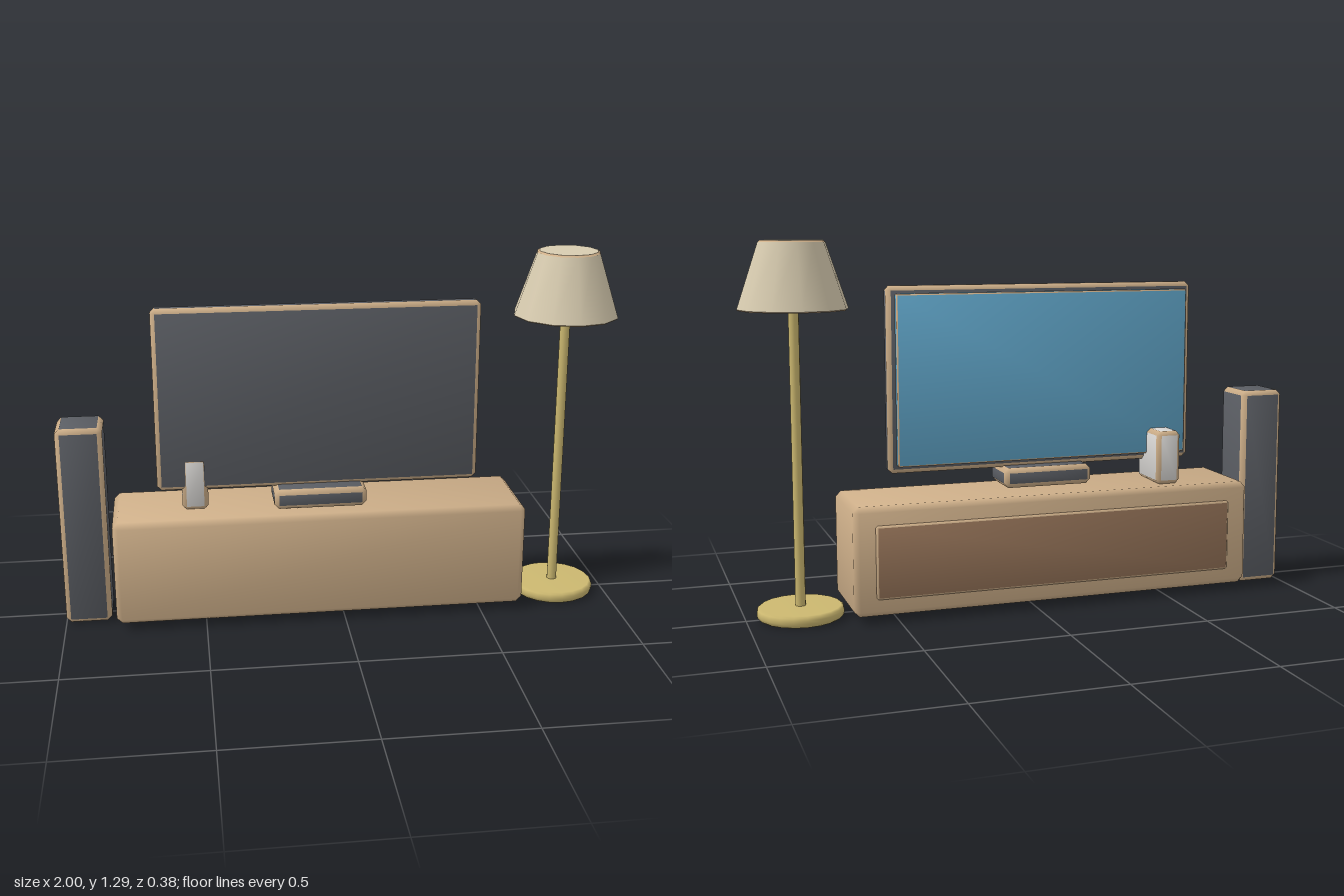
import * as THREE from 'three';

const mat = (name, color) => {
  const m = new THREE.MeshStandardMaterial({ color });
  m.name = name;
  return m;
};

// Chamfered box centred on the origin: group 0 = flat faces, group 1 = chamfers
function chamferBox(w, h, d, b, soft) {
  const half = [w / 2, h / 2, d / 2], pos = [], nor = [], faces = [], bevels = [];
  const corner = (axis, s) => axis * 8 + (s[0] > 0 ? 4 : 0) + (s[1] > 0 ? 2 : 0) + (s[2] > 0 ? 1 : 0);
  for (let axis = 0; axis < 3; axis++) {
    for (const x of [-1, 1]) for (const y of [-1, 1]) for (const z of [-1, 1]) {
      const s = [x, y, z];
      pos.push(...s.map((v, i) => v * (half[i] - (i === axis ? 0 : b))));
      nor.push(...new THREE.Vector3(...s.map((v, i) => v * (i === axis ? 1 : soft))).normalize().toArray());
    }
  }
  const P = i => new THREE.Vector3().fromArray(pos, i * 3);
  // Adds a triangle wound to face away from the centre
  const tri = (list, i, j, k) => {
    const a = P(i), n = P(j).sub(a).cross(P(k).sub(a));
    list.push(...(n.dot(a) > 0 ? [i, j, k] : [i, k, j]));
  };
  const quad = (list, i, j, k, l) => { tri(list, i, j, k); tri(list, i, k, l); };
  for (let a = 0; a < 3; a++) {
    const u = (a + 1) % 3, v = (a + 2) % 3;
    const at = (axis, sa, su, sv) => {
      const s = [];
      s[a] = sa; s[u] = su; s[v] = sv;
      return corner(axis, s);
    };
    for (const p of [-1, 1]) {
      quad(faces, at(a, p, -1, -1), at(a, p, 1, -1), at(a, p, 1, 1), at(a, p, -1, 1));
      for (const q of [-1, 1]) {
        quad(bevels, at(a, p, q, -1), at(a, p, q, 1), at(u, p, q, 1), at(u, p, q, -1));
        if (a === 0) for (const r of [-1, 1]) tri(bevels, at(0, p, q, r), at(1, p, q, r), at(2, p, q, r));
      }
    }
  }
  const g = new THREE.BufferGeometry();
  g.setAttribute('position', new THREE.Float32BufferAttribute(pos, 3));
  g.setAttribute('normal', new THREE.Float32BufferAttribute(nor, 3));
  g.setIndex([...faces, ...bevels]);
  g.addGroup(0, faces.length, 0);
  g.addGroup(faces.length, bevels.length, 1);
  return g;
}

export function createModel() {
  const model = new THREE.Group();
  model.name = 'mediaCorner';

  const wood = mat('light wood', 0xcfb08a);
  const brown = mat('brown wood', 0x967459);
  const dark = mat('charcoal', 0x5b5e64);
  const blue = mat('screen blue', 0x62a8cc);
  const white = mat('off white', 0xdad8d5);
  const cream = mat('lampshade cream', 0xd8ccb0);
  const brass = mat('brass', 0xccb870);

  // Box given by its min and max corners, with wood coloured chamfers
  const box = (name, material, x, y, z, b, soft = 0.25) => {
    const mesh = new THREE.Mesh(
      chamferBox(x[1] - x[0], y[1] - y[0], z[1] - z[0], b, soft), [material, wood]);
    mesh.name = name;
    mesh.position.set((x[0] + x[1]) / 2, (y[0] + y[1]) / 2, (z[0] + z[1]) / 2);
    model.add(mesh);
  };

  // Cabinet with its door panel on the screen side
  box('cabinet', wood, [-0.818, 0.655], [0.022, 0.405], [-0.17, 0.17], 0.02);
  box('doorPanel', brown, [-0.74, 0.58], [0.083, 0.34], [-0.179, -0.16], 0.007);

  // Television
  box('televisionStand', dark, [-0.247, 0.083], [0.413, 0.485], [-0.055, 0.122], 0.017);
  box('televisionBody', dark, [-0.657, 0.492], [0.48, 1.137], [0.005, 0.061], 0.016);
  box('televisionScreen', blue, [-0.63, 0.463], [0.507, 1.11], [-0.02, 0.006], 0.005);

  // Speaker and upright console
  box('speaker', dark, [-1, -0.837], [0, 0.73], [-0.088, 0.088], 0.017);
  box('console', white, [-0.57, -0.478], [0.405, 0.6], [-0.12, 0.063], 0.015);

  // Floor lamp
  const lamp = new THREE.Group();
  lamp.name = 'floorLamp';
  lamp.position.x = 0.812;
  model.add(lamp);
  const round = (name, material, rTop, rBottom, y0, y1, sides, open = false) => {
    const mesh = new THREE.Mesh(new THREE.CylinderGeometry(rTop, rBottom, y1 - y0, sides, 1, open), material);
    mesh.name = name;
    mesh.position.y = (y0 + y1) / 2;
    lamp.add(mesh);
  };
  const profile = [[0, 0], [0.14, 0], [0.148, 0.006], [0.151, 0.016], [0.151, 0.026], [0.148, 0.035], [0.14, 0.041], [0, 0.041]];
  const base = new THREE.Mesh(
    new THREE.LatheGeometry(profile.map(p => new THREE.Vector2(...p)), 20), brass);
  base.name = 'lampBase';
  lamp.add(base);
  round('lampPole', brass, 0.018, 0.018, 0.035, 1.07, 12);
  round('lampShade', cream, 0.113, 0.188, 1.066, 1.289, 12);
  round('shadeTop', cream, 0.105, 0.105, 1.28, 1.295, 12);
  round('shadeTopRim', wood, 0.105, 0.113, 1.289, 1.295, 12, true);
  round('shadeBottomRim', wood, 0.188, 0.184, 1.062, 1.066, 12, true);
  round('shadeUnderside', cream, 0.184, 0.184, 1.062, 1.065, 12);

  return model;
}
